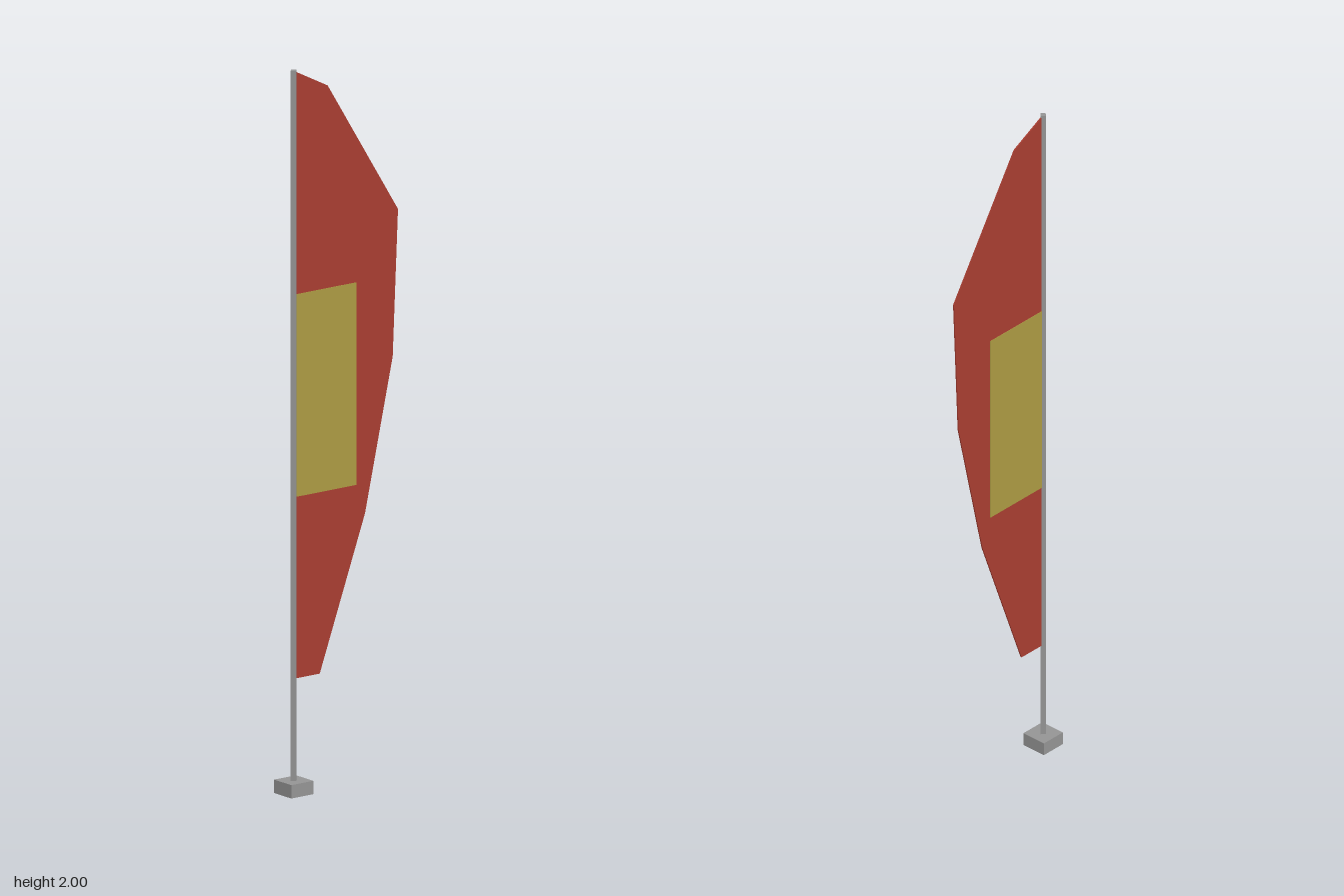
import * as THREE from 'three';

export function createModel() {
  const group = new THREE.Group();
  const material = (name, color) => {
    const m = new THREE.MeshStandardMaterial({ color, flatShading: true });
    m.name = name;
    return m;
  };
  const grey = material('grey metal', 0x949494);
  const red = material('red cloth', 0xa83d31);
  const yellow = material('yellow panel', 0xab9a42);

  const add = (name, geometry, mat, x, y, z) => {
    const mesh = new THREE.Mesh(geometry, mat);
    mesh.name = name;
    mesh.position.set(x, y, z);
    group.add(mesh);
    return mesh;
  };

  const poleZ = 0.158;

  // Square foot and four-sided pole
  add('base', new THREE.BoxGeometry(0.075, 0.037, 0.075), grey, 0, 0.0185, poleZ);
  add('pole', new THREE.CylinderGeometry(0.01, 0.01, 1.98, 4), grey, 0, 1.01, poleZ);

  // Feather-shaped cloth, outlined as distance behind the pole and height
  const outline = [
    [0, 0.318], [0.087, 0.318], [0.241, 0.737], [0.335, 1.155],
    [0.353, 1.56], [0.114, 1.94], [0, 1.998],
  ].map(([d, y]) => new THREE.Vector2(d, y));
  const thickness = 0.004;
  const cloth = new THREE.ExtrudeGeometry(new THREE.Shape(outline), {
    depth: thickness, bevelEnabled: false,
  });
  cloth.translate(0, 0, -thickness / 2);
  cloth.rotateY(Math.PI / 2);
  add('flag', cloth, red, 0, 0, poleZ);

  // Rectangular panel, showing on both sides of the cloth
  for (const side of [1, -1]) {
    add(side > 0 ? 'leftPanel' : 'rightPanel',
      new THREE.BoxGeometry(0.001, 0.56, 0.211), yellow,
      side * 0.0025, 1.10, poleZ - 0.1055);
  }

  return group;
}
